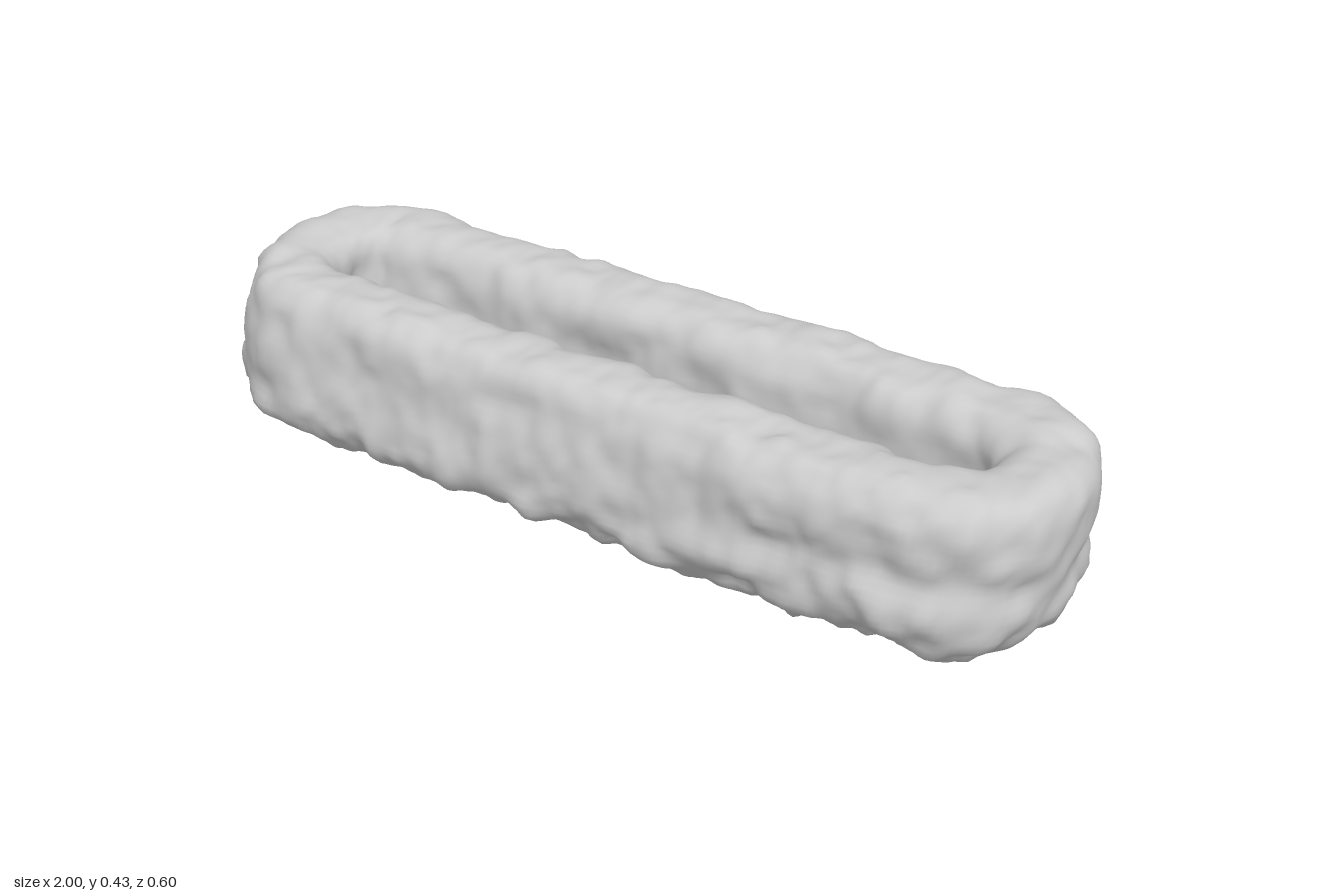
import * as THREE from 'three';

// Closed counter-clockwise loop of evenly spaced points on a rounded rectangle
function roundedLoop(hw, hh, r, count) {
  const s = new THREE.Shape();
  s.moveTo(hw, 0);
  s.absarc(hw - r, hh - r, r, 0, Math.PI / 2);
  s.absarc(-hw + r, hh - r, r, Math.PI / 2, Math.PI);
  s.absarc(-hw + r, -hh + r, r, Math.PI, Math.PI * 1.5);
  s.absarc(hw - r, -hh + r, r, Math.PI * 1.5, Math.PI * 2);
  s.closePath();
  return s.getSpacedPoints(count).slice(0, count);
}

// Seeded smooth value noise in -1..1
function hash(x, y, z) {
  const h = Math.sin(x * 12.9898 + y * 78.233 + z * 37.719) * 43758.5453;
  return (h - Math.floor(h)) * 2 - 1;
}
function noise(x, y, z) {
  const i = [x, y, z].map(Math.floor);
  const [u, v, w] = [x - i[0], y - i[1], z - i[2]].map((f) => f * f * (3 - 2 * f));
  const mix = THREE.MathUtils.lerp;
  const row = (b, c) => mix(hash(i[0], i[1] + b, i[2] + c), hash(i[0] + 1, i[1] + b, i[2] + c), u);
  return mix(mix(row(0, 0), row(1, 0), v), mix(row(0, 1), row(1, 1), v), w);
}

const bump = (v, centre, width) => Math.exp(-(((v - centre) / width) ** 2));
const { smoothstep } = THREE.MathUtils;

function ringGeometry() {
  const N = 360, M = 60, HALF = 0.1;
  const path = roundedLoop(0.88, 0.175, 0.16, N);
  const section = roundedLoop(HALF, 0.187, 0.075, M);
  const pos = [], index = [];

  for (let i = 0; i < N; i++) {
    const p = path[i];
    const t = path[(i + 1) % N].clone().sub(path[(i + N - 1) % N]).normalize();
    const nx = t.y, nz = -t.x; // outward direction in plan
    const front = Math.max(0, nz), back = Math.max(0, -nz);
    const frontRight = front * smoothstep(p.x, 0.25, 0.45);
    const end = smoothstep(Math.abs(p.x), 0.72, 0.88);

    for (let j = 0; j < M; j++) {
      const q = section[j];
      const side = q.x / HALF;
      let off = q.x, y = 0.235 + q.y;

      if (side > 0) {
        // Outer wall: groove along the back, fainter at the front right
        off -= side * (0.03 * back + 0.012 * frontRight) * bump(y, 0.24, 0.035);
        // Front wall leans back toward the top
        off -= side * 0.022 * (front - frontRight) * smoothstep(y, 0.2, 0.42);
        // Low bulge, then an undercut toward the base
        off += side * 0.008 * bump(y, 0.16, 0.05);
        off -= side * 0.035 * bump(y, 0.045, 0.05);
      } else {
        // Inner wall: front bar slightly thicker than the back one
        off *= 1 + 0.08 * nz;
      }

      // Rough rock: lumps along the section normal, stronger low down
      const a = section[(j + 1) % M], b = section[(j + M - 1) % M];
      const d = a.clone().sub(b).normalize();
      const x = p.x + nx * off, z = p.y + nz * off;
      const rough = 0.75 + 0.6 * bump(y, 0.07, 0.1) + 0.3 * frontRight;
      const lump = rough * (0.012 * noise(x * 10 + 3, y * 11, z * 11 + 7)
        + 0.011 * noise(x * 20, y * 18 + 5, z * 20) + 0.003 * noise(x * 40, y * 40, z * 40));
      off += d.y * lump;
      y -= d.x * lump;

      // Lower base under the two ends, deepest at the right-hand one
      y -= end * (p.x < 0 ? 0.028 : 0.018) * (1 - smoothstep(y, 0.04, 0.16));

      // Both end walls tilt the same way
      pos.push(p.x + nx * off + (y - 0.235) * 0.12 * end, y, p.y + nz * off);

      const i2 = (i + 1) % N, j2 = (j + 1) % M;
      index.push(i * M + j, i * M + j2, i2 * M + j);
      index.push(i * M + j2, i2 * M + j2, i2 * M + j);
    }
  }

  const g = new THREE.BufferGeometry();
  g.setAttribute('position', new THREE.Float32BufferAttribute(pos, 3));
  g.setIndex(index);

  // Centre over the ground and stand on it
  g.computeBoundingBox();
  const c = g.boundingBox.getCenter(new THREE.Vector3());
  g.translate(-c.x, -g.boundingBox.min.y, -c.z);
  g.computeVertexNormals();
  return g;
}

export function createModel() {
  const group = new THREE.Group();
  const ring = new THREE.Mesh(ringGeometry(), new THREE.MeshStandardMaterial({ color: 0xcccccc }));
  ring.name = 'stoneRing';
  group.add(ring);
  return group;
}
